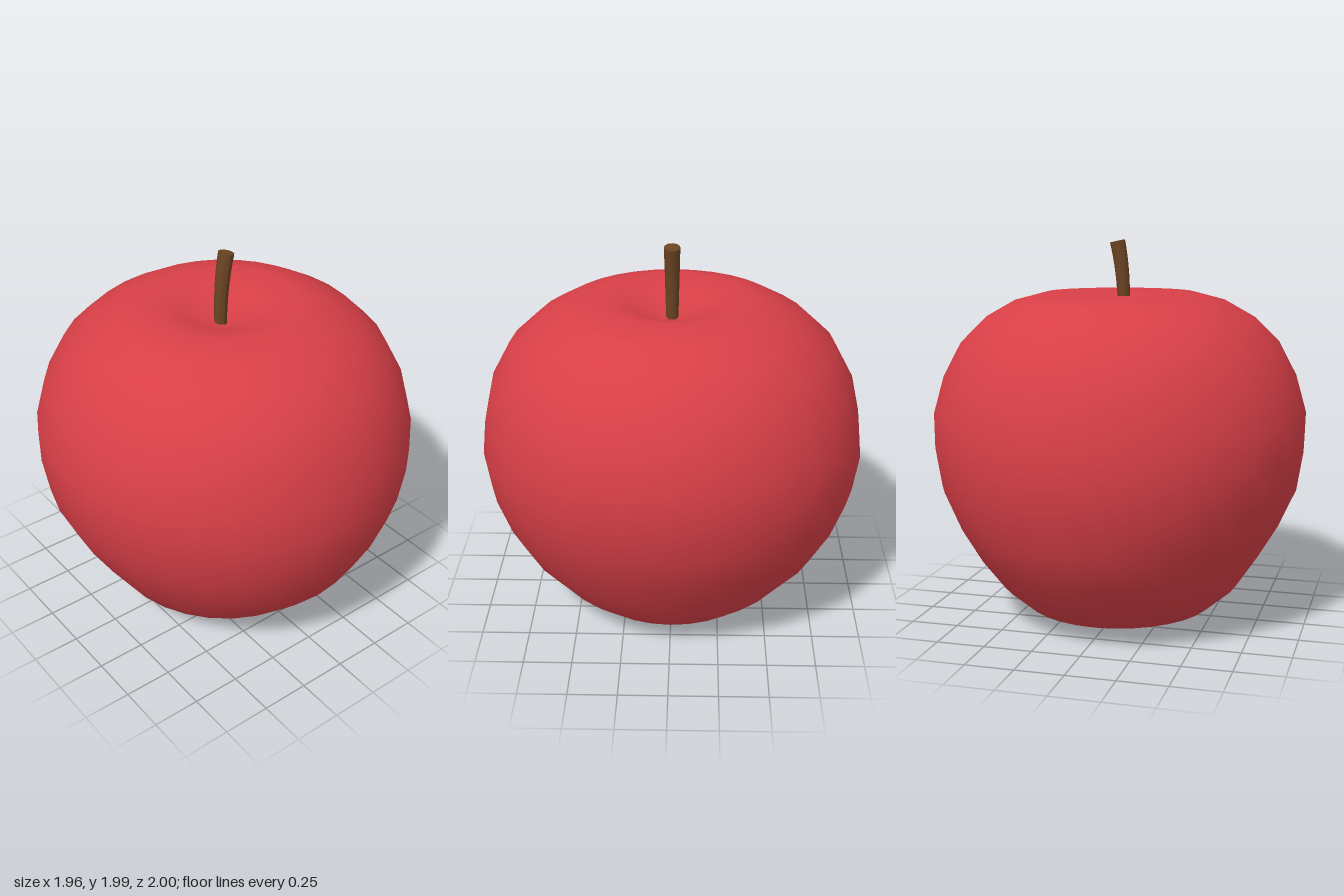
import * as THREE from 'three';
import { mergeVertices } from 'three/addons/utils/BufferGeometryUtils.js';

const skin = new THREE.MeshStandardMaterial({ color: 0xd83f47 });
skin.name = 'red skin';
const bark = new THREE.MeshStandardMaterial({ color: 0x6b4423 });
bark.name = 'brown stem';

// Weld the seam so the normals run smoothly all the way round
function smooth(geometry) {
  geometry.deleteAttribute('normal');
  geometry.deleteAttribute('uv');
  const welded = mergeVertices(geometry, 1e-4);
  welded.computeVertexNormals();
  return welded;
}

// Body: turned profile from base dimple to stem dimple, [half depth, height, half width]
function makeBody() {
  const rings = [
    [0, 0.09, 0], [0.18, 0.002, 0.18], [0.35, 0.015, 0.345], [0.51, 0.065, 0.5],
    [0.645, 0.18, 0.635], [0.8, 0.34, 0.742], [0.9, 0.52, 0.85], [0.97, 0.72, 0.94],
    [1.0, 0.92, 0.972], [0.98, 1.1, 0.978], [0.935, 1.295, 0.922], [0.84, 1.47, 0.83],
    [0.705, 1.595, 0.705], [0.555, 1.68, 0.555], [0.385, 1.725, 0.385],
    [0.2, 1.675, 0.2], [0, 1.595, 0],
  ];
  const geometry = new THREE.LatheGeometry(rings.map(([r, y]) => new THREE.Vector2(r, y)), 32);
  const pos = geometry.attributes.position;
  for (let i = 0; i < pos.count; i++) {
    const [depth, , width] = rings[i % rings.length];
    if (depth > 0) pos.setX(i, pos.getX(i) * width / depth);
  }
  const body = new THREE.Mesh(smooth(geometry), skin);
  body.name = 'appleBody';
  return body;
}

// Stem: tapered cylinder bent towards +x, its top cut square to the bend
function makeStem() {
  const base = 1.585, height = 0.4;
  const geometry = new THREE.CylinderGeometry(0.041, 0.031, height, 12, 8);
  const pos = geometry.attributes.position;
  for (let i = 0; i < pos.count; i++) {
    // Clamped, as rounding can put the lowest ring just below zero
    const t = THREE.MathUtils.clamp(pos.getY(i) / height + 0.5, 0, 1);
    const angle = Math.atan(0.0875 * t ** 1.5 / height);
    const x = pos.getX(i);
    pos.setX(i, -0.02 + 0.035 * t ** 2.5 + x * Math.cos(angle));
    pos.setY(i, base + height * t - x * Math.sin(angle));
  }
  geometry.computeVertexNormals();
  const stem = new THREE.Mesh(geometry, bark);
  stem.name = 'stem';
  return stem;
}

export function createModel() {
  const apple = new THREE.Group();
  apple.name = 'apple';
  apple.add(makeBody(), makeStem());
  return apple;
}
